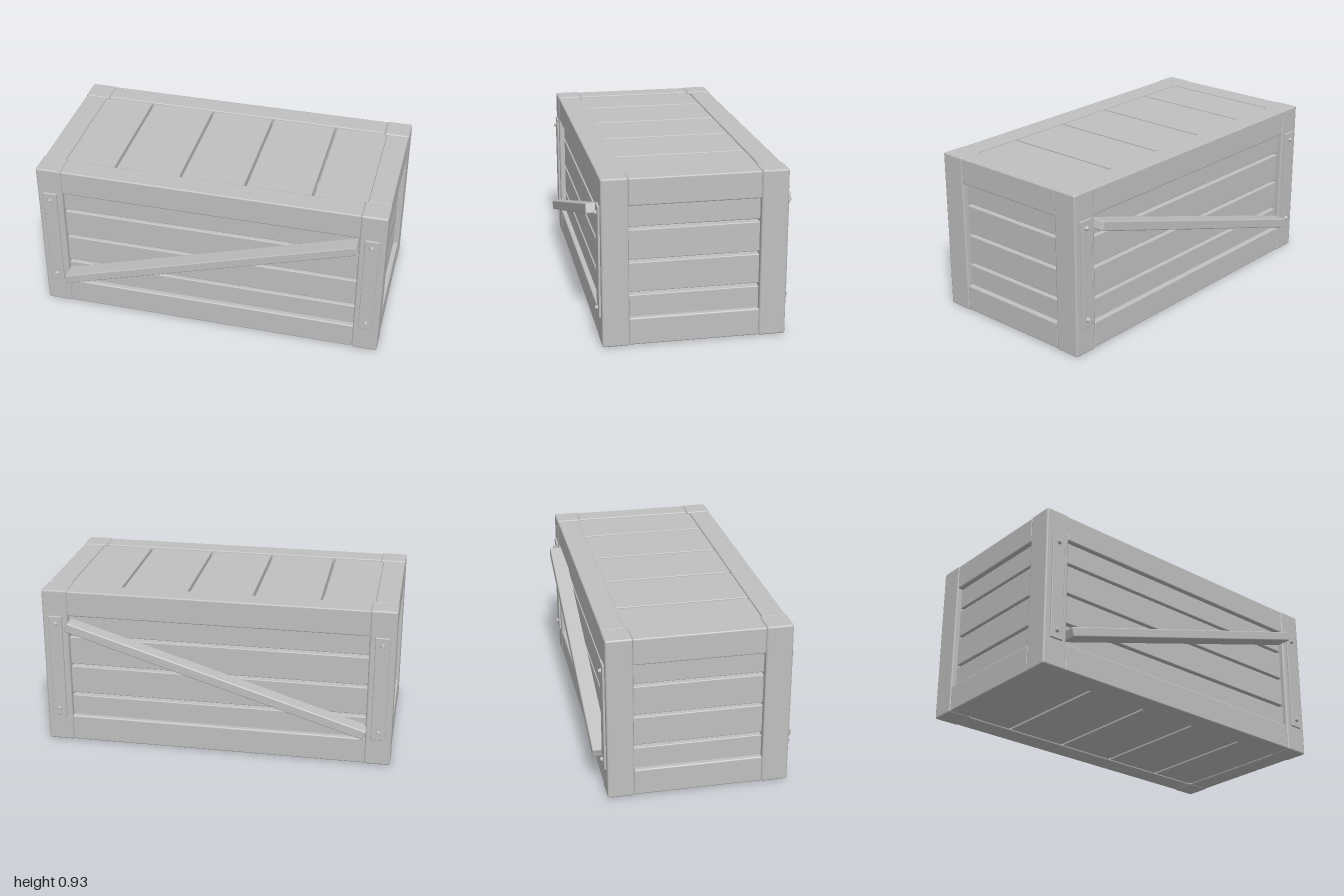
import * as THREE from 'three';
import { RoundedBoxGeometry } from 'three/addons/geometries/RoundedBoxGeometry.js';

export function createModel() {
  const crate = new THREE.Group();
  crate.name = 'woodenCrate';
  const grey = new THREE.MeshStandardMaterial({ color: 0xc0c0c0 });
  grey.name = 'plainGrey';

  // Board given by its min and max corners, with a small worn edge
  function board(name, x0, x1, y0, y1, z0, z1, bevel = 0.006) {
    const geo = new RoundedBoxGeometry(x1 - x0, y1 - y0, z1 - z0, 1, bevel);
    const mesh = new THREE.Mesh(geo, grey);
    mesh.position.set((x0 + x1) / 2, (y0 + y1) / 2, (z0 + z1) / 2);
    mesh.name = name;
    crate.add(mesh);
    return mesh;
  }
  // Same board, with one axis range flipped to the side s
  const span = (s, a, b) => (s > 0 ? [a, b] : [-b, -a]);

  const H = 0.93;
  const railRows = [[0.003, 0.155], [0.778, H - 0.003]];
  const slatRows = [[0.12, 0.276], [0.293, 0.458], [0.474, 0.64], [0.656, 0.81]];

  for (const s of [1, -1]) {
    // Corner posts
    for (const t of [1, -1])
      board('cornerPost', ...span(s, 0.853, 1), 0, H, ...span(t, 0.353, 0.5), 0.01);

    // Rails along the long sides and the ends
    for (const [y0, y1] of railRows) {
      board('longRail', -0.856, 0.856, y0, y1, ...span(s, 0.367, 0.497), 0.008);
      board('endRail', ...span(s, 0.867, 0.997), y0, y1, -0.355, 0.355, 0.008);
    }

    // Recessed wall slats
    for (const [y0, y1] of slatRows) {
      board('longSlat', -0.87, 0.87, y0, y1, ...span(s, 0.415, 0.468), 0.005);
      board('endSlat', ...span(s, 0.915, 0.968), y0, y1, -0.37, 0.37, 0.005);
    }

    // Diagonal brace, rising towards +x on both long sides
    const len = Math.hypot(1.705, 0.53);
    const brace = board('diagonalBrace', -len / 2, len / 2, 0, 0.055, ...span(s, 0.45, 0.558), 0.007);
    brace.position.x = -0.002;
    brace.position.y = 0.467;
    brace.rotation.z = Math.atan2(0.53, 1.705);

    // Bolted plates on the posts
    for (const t of [1, -1]) {
      board('postPlate', ...span(t, 0.885, 0.965), 0.157, 0.777, ...span(s, 0.49, 0.511), 0.004);
      for (const y of [0.204, 0.732]) {
        const bolt = new THREE.Mesh(new THREE.CylinderGeometry(0.009, 0.016, 0.02, 8), grey);
        bolt.rotation.x = s * Math.PI / 2;
        bolt.position.set(t * 0.925, y, s * 0.516);
        bolt.name = 'bolt';
        crate.add(bolt);
      }
    }
  }

  // Lid and floor planks with narrow gaps
  const seams = [-0.88, -0.572, -0.19, 0.182, 0.564, 0.88];
  for (let i = 0; i < 5; i++) {
    const x0 = seams[i] + 0.007, x1 = seams[i + 1] - 0.007;
    board('lidPlank', x0, x1, H - 0.06, H - 0.012, -0.38, 0.38, 0.005);
    board('floorPlank', x0, x1, 0.012, 0.06, -0.38, 0.38, 0.005);
  }

  return crate;
}
